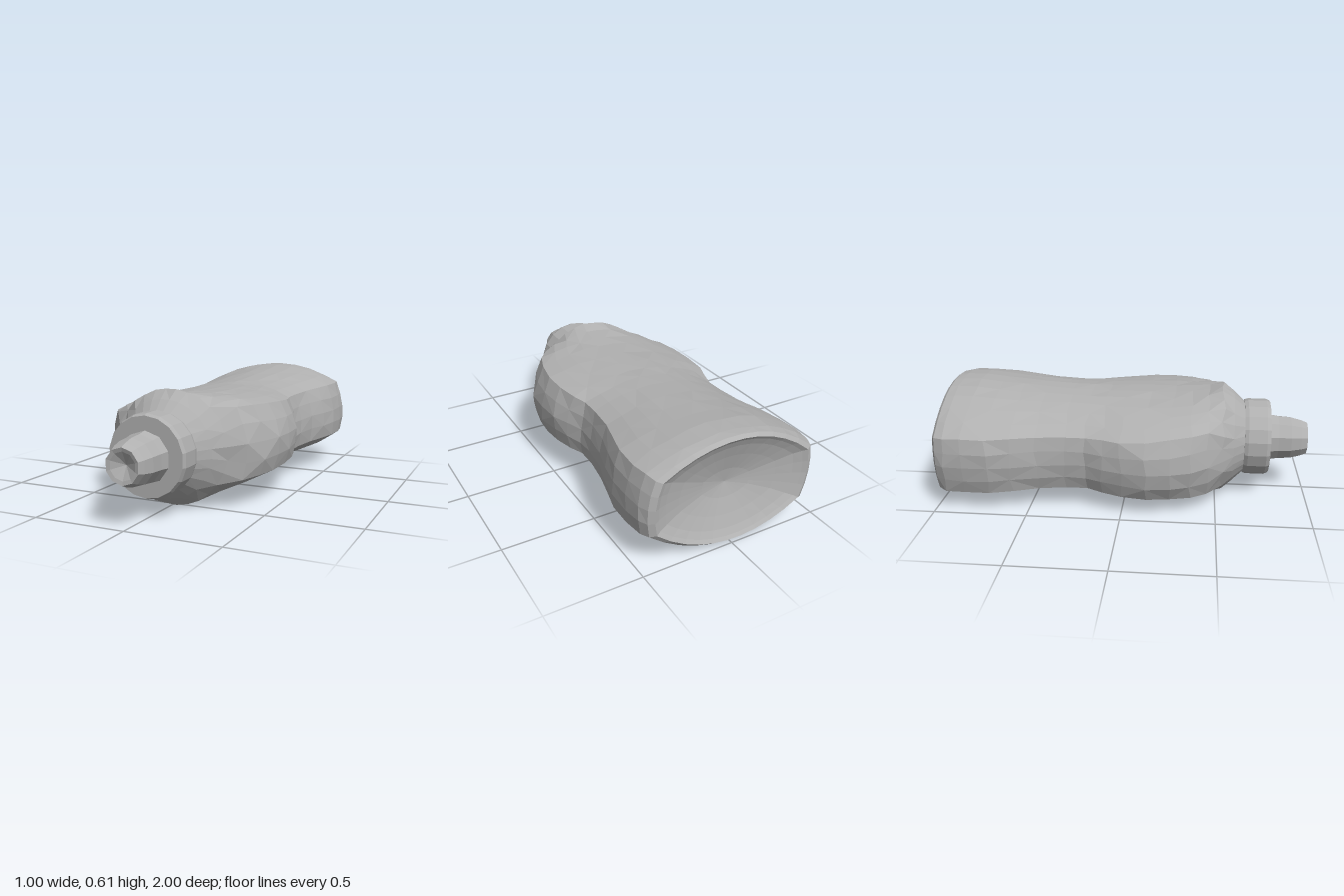
import * as THREE from 'three';

const CENTRE_Y = 0.304;

// small seeded noise for the hand-faceted surface
function makeNoise(seed) {
  let s = seed;
  return (amount) => {
    s = (s * 16807) % 2147483647;
    return (s / 2147483647 - 0.5) * 2 * amount;
  };
}

// separate the faces so each one has its own flat normal
function faceted(geometry) {
  const flat = geometry.index ? geometry.toNonIndexed() : geometry;
  flat.computeVertexNormals();
  return flat;
}

// lens-shaped section with straight sides, blended by k towards an ellipse
function section(w, h, c, k) {
  const half = [];
  for (let i = 0; i < 4; i++) {
    const t = -1 + i / 2;
    if (t < 1) half.push([w * (1 - 0.04 * t * t), c * t]);
  }
  for (let i = 0; i < 10; i++) {
    const t = 1 - i / 5;
    half.push([0.96 * w * t, c + (h - c) * (1 - t * t)]);
  }
  const ring = half.concat(half.map(([x, y]) => [-x, -y]));
  return ring.map(([x, y]) => {
    const a = Math.atan2(y / h, x / w);
    return [x + (w * Math.cos(a) - x) * k, y + (h * Math.sin(a) - y) * k];
  });
}

// z, half width, half height, side half height, roundness
const STATIONS = [
  [-0.905, 0.002, 0.002, 0.001, 0], // hollow base
  [-0.92, 0.14, 0.08, 0.035, 0.3],
  [-0.945, 0.28, 0.165, 0.08, 0.25],
  [-0.968, 0.37, 0.23, 0.115, 0.2],
  [-0.985, 0.415, 0.265, 0.13, 0.15],
  [-0.998, 0.44, 0.282, 0.14, 0.15], // rim
  [-0.98, 0.47, 0.297, 0.15, 0.12], // heel
  [-0.93, 0.491, 0.302, 0.157, 0.1],
  [-0.83, 0.498, 0.302, 0.16, 0.08],
  [-0.7, 0.497, 0.29, 0.158, 0.08],
  [-0.58, 0.47, 0.278, 0.158, 0.1],
  [-0.45, 0.437, 0.269, 0.156, 0.15],
  [-0.3, 0.417, 0.261, 0.156, 0.2], // waist
  [-0.19, 0.417, 0.258, 0.156, 0.2],
  [-0.1, 0.452, 0.257, 0.158, 0.2],
  [0, 0.487, 0.256, 0.164, 0.25],
  [0.13, 0.501, 0.256, 0.175, 0.3],
  [0.26, 0.488, 0.26, 0.188, 0.4],
  [0.36, 0.453, 0.267, 0.198, 0.45],
  [0.45, 0.392, 0.278, 0.2, 0.5],
  [0.53, 0.315, 0.3, 0.14, 0.85], // shoulder
  [0.59, 0.257, 0.255, 0.1, 1],
  [0.66, 0.19, 0.19, 0.09, 1],
];

function bodyGeometry() {
  const noise = makeNoise(71);
  const positions = [];
  const index = [];
  let n = 0;
  STATIONS.forEach(([z, w, h, c, k], row) => {
    const ring = section(w, h, c, k);
    n = ring.length;
    const j = row > 6 && row < STATIONS.length - 2 ? 1 : 0;
    for (const [x, y] of ring) {
      positions.push(x + noise(0.004) * j, y + noise(0.003) * j, z + noise(0.01) * j);
    }
  });
  for (let r = 0; r < STATIONS.length - 1; r++) {
    for (let i = 0; i < n; i++) {
      const a = r * n + i;
      const b = r * n + ((i + 1) % n);
      if ((r + i) % 2) index.push(a, b, b + n, a, b + n, a + n);
      else index.push(a, b, a + n, b, b + n, a + n);
    }
  }
  const geometry = new THREE.BufferGeometry();
  geometry.setAttribute('position', new THREE.Float32BufferAttribute(positions, 3));
  geometry.setIndex(index);
  return faceted(geometry);
}

// turned part whose axis runs along z
function turned(profile, sides) {
  const points = profile.map(([r, z]) => new THREE.Vector2(r, z));
  return faceted(new THREE.LatheGeometry(points, sides).rotateX(Math.PI / 2));
}

export function createModel() {
  const plastic = new THREE.MeshStandardMaterial({ color: 0xb0b0b0 });
  plastic.name = 'grey plastic';

  const model = new THREE.Group();
  model.name = 'squeezeBottle';
  const add = (name, geometry) => {
    const mesh = new THREE.Mesh(geometry, plastic);
    mesh.name = name;
    mesh.position.y = CENTRE_Y;
    model.add(mesh);
    return mesh;
  };

  // body, rolled slightly about its long axis
  add('bottleBody', bodyGeometry()).rotation.z = 0.096;

  // screw collar
  add('collar', turned([
    [0.17, 0.648], [0.206, 0.65], [0.212, 0.67], [0.212, 0.77], [0.203, 0.79], [0.11, 0.79],
  ], 18));

  // tapered nozzle with a shallow opening
  add('nozzle', turned([
    [0.132, 0.785], [0.123, 0.84], [0.118, 0.91], [0.104, 0.965], [0.09, 1], [0.07, 0.995], [0.001, 0.96],
  ], 10));

  return model;
}
